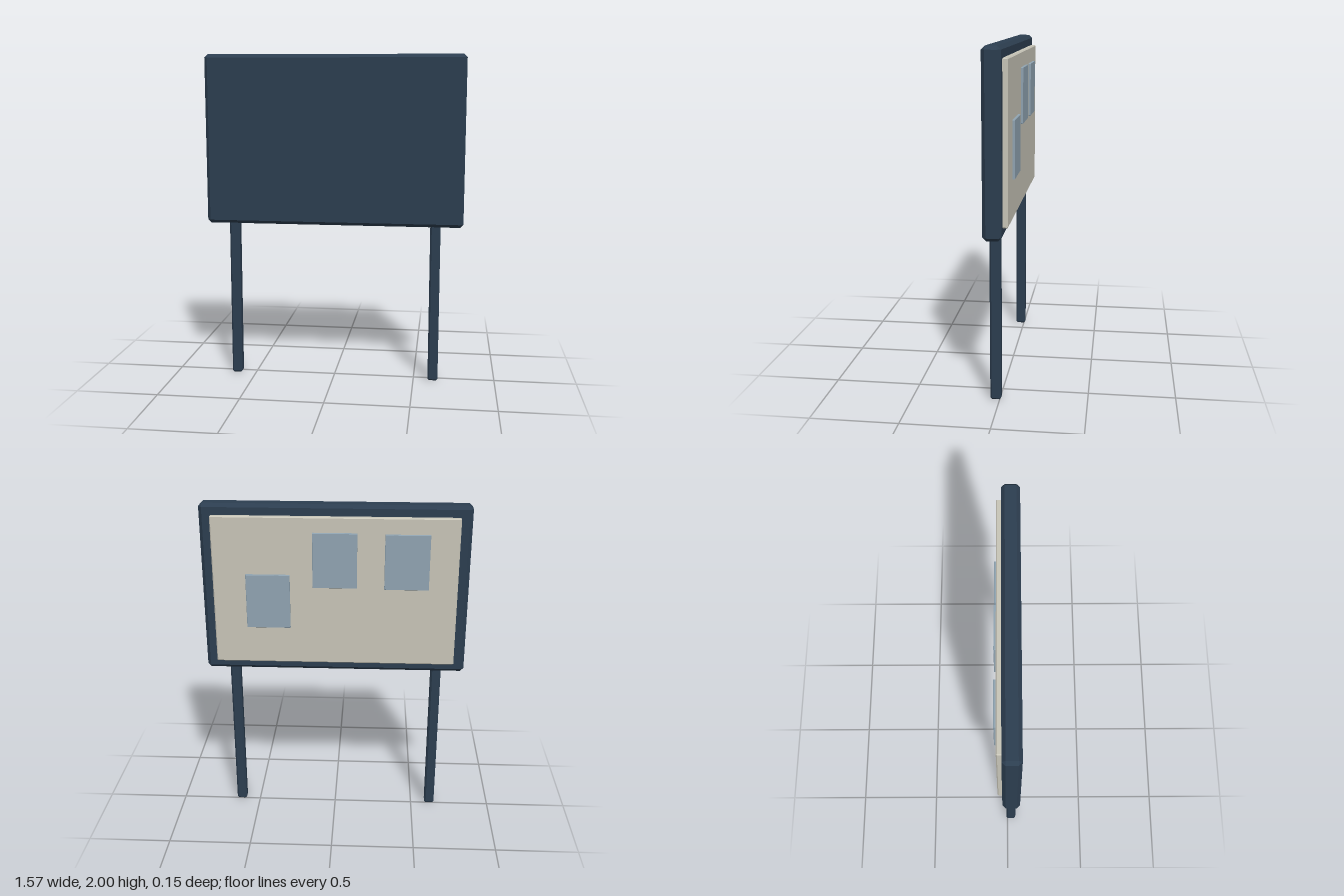
import * as THREE from 'three';
import { ConvexGeometry } from 'three/addons/geometries/ConvexGeometry.js';

const navy = new THREE.MeshStandardMaterial({ color: 0x2c3e50, flatShading: true });
const cream = new THREE.MeshStandardMaterial({ color: 0xc8c5b8, flatShading: true });
const blueGrey = new THREE.MeshStandardMaterial({ color: 0x90a4b2, flatShading: true });

// Box with all edges and corners cut by a flat chamfer, given by its limits
function chamferBox(name, material, [x0, x1], [y0, y1], [z0, z1], bevel) {
  const half = [(x1 - x0) / 2, (y1 - y0) / 2, (z1 - z0) / 2];
  const points = [];
  for (const sx of [-1, 1]) for (const sy of [-1, 1]) for (const sz of [-1, 1]) {
    for (let axis = 0; axis < 3; axis++) {
      const [x, y, z] = half.map((h, i) => (i === axis ? h : h - bevel));
      points.push(new THREE.Vector3(sx * x, sy * y, sz * z));
    }
  }
  const mesh = new THREE.Mesh(new ConvexGeometry(points), material);
  mesh.name = name;
  mesh.position.set((x0 + x1) / 2, (y0 + y1) / 2, (z0 + z1) / 2);
  return mesh;
}

export function createModel() {
  const model = new THREE.Group();
  model.name = 'noticeBoard';

  // Thick backing board
  model.add(chamferBox('board', navy, [-0.787, 0.787], [0.97, 2], [-0.031, 0.073], 0.02));

  // Two posts running up into the board
  for (const [name, x] of [['leftPost', 0.62], ['rightPost', -0.62]]) {
    model.add(chamferBox(name, navy, [x - 0.031, x + 0.031], [0, 1.05], [-0.008, 0.054], 0.01));
  }

  // Pinning panel on the rear face
  model.add(chamferBox('pinPanel', cream, [-0.72, 0.72], [1.03, 1.935], [-0.059, -0.025], 0.006));

  // Sheets pinned to the panel
  const sheets = [[-0.42, 1.675], [0, 1.68], [0.394, 1.425]];
  sheets.forEach(([x, y], i) => {
    model.add(chamferBox(`sheet${i + 1}`, blueGrey,
      [x - 0.13, x + 0.13], [y - 0.165, y + 0.165], [-0.073, -0.055], 0.002));
  });

  return model;
}
